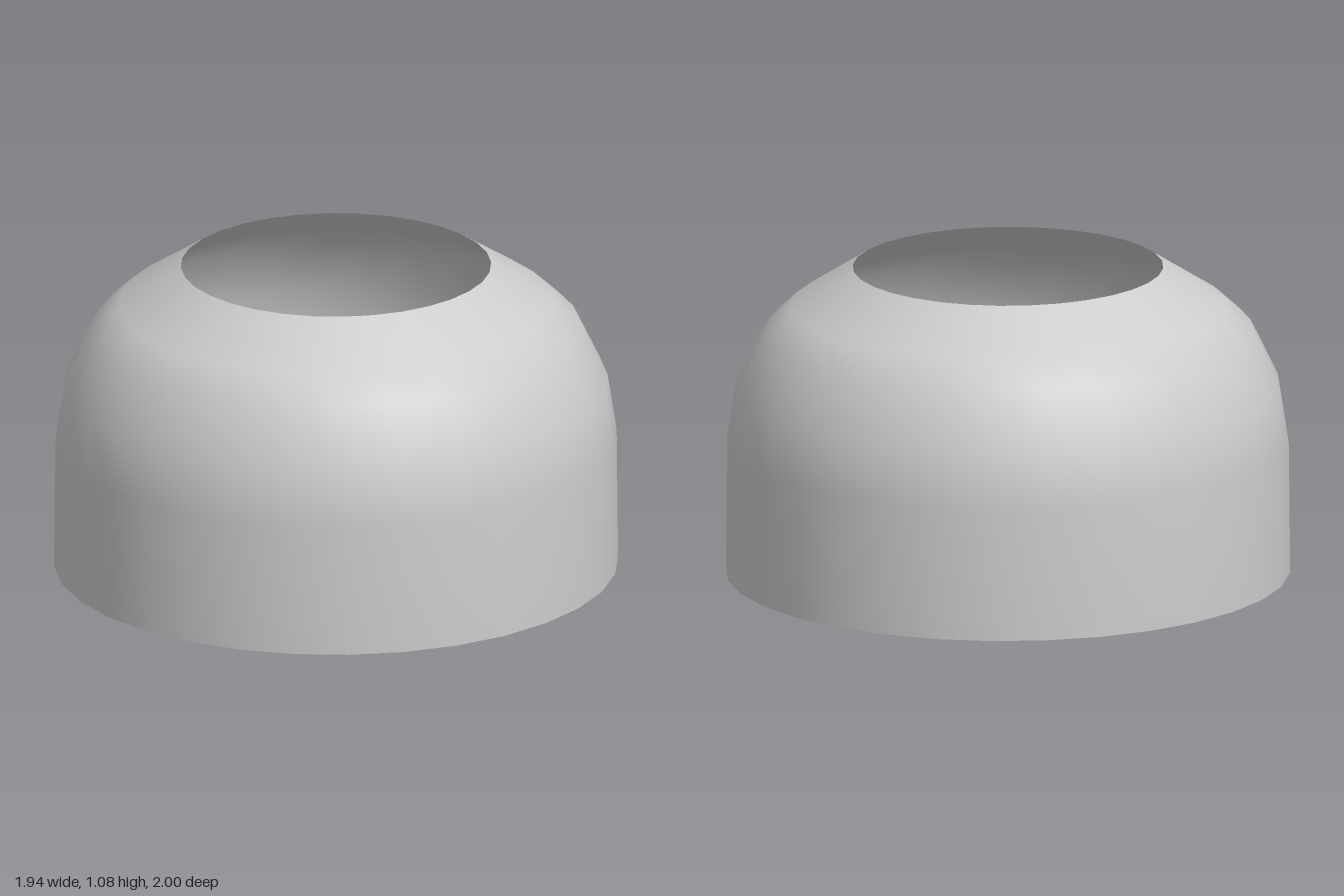
import * as THREE from 'three';

export function createModel() {
  const group = new THREE.Group();
  const material = new THREE.MeshStandardMaterial({ color: 0xcccccc, side: THREE.DoubleSide });

  // Outline of the thin open shell, from the base rim to the top opening
  const profile = [
    [1, 0], [0.995, 0.46], [0.963, 0.66], [0.866, 0.855], [0.77, 0.94], [0.55, 1.077],
  ].map(([r, y]) => new THREE.Vector2(r, y));

  // Slightly narrower across x than along z
  const geometry = new THREE.LatheGeometry(profile, 32);
  geometry.scale(0.972, 1, 1);

  const shell = new THREE.Mesh(geometry, material);
  shell.name = 'openDomeShell';
  group.add(shell);
  return group;
}
